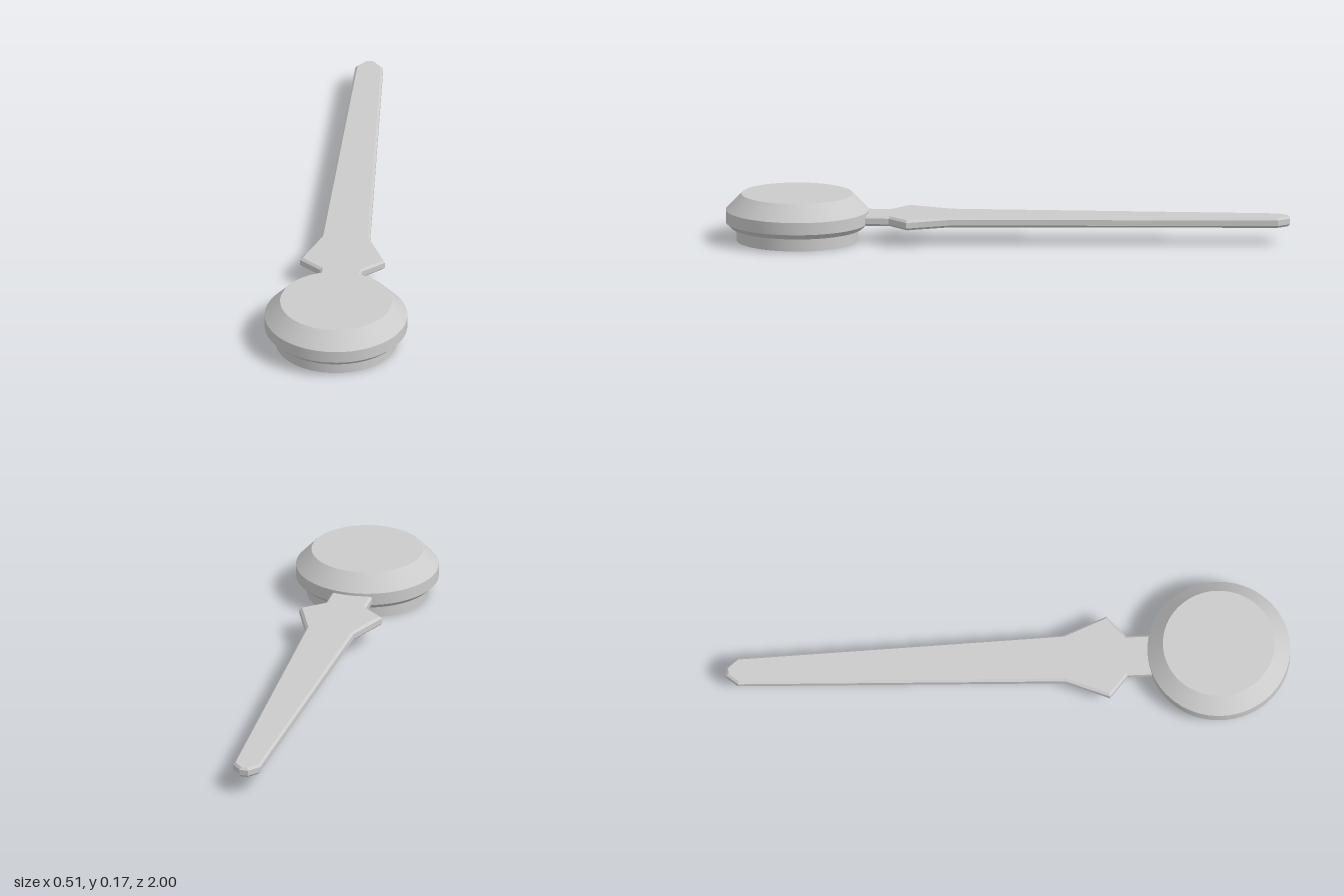
import * as THREE from 'three';
import { toCreasedNormals } from 'three/addons/utils/BufferGeometryUtils.js';

const HUB_Z = 0.747;

export function createModel() {
  const group = new THREE.Group();
  const material = new THREE.MeshStandardMaterial({ color: 0xcccccc, side: THREE.DoubleSide });

  // Hollow hub cap, open underneath: collar, step, chamfered rim and flat top
  const profile = [
    [0.215, 0], [0.215, 0.047], [0.233, 0.047], [0.253, 0.066],
    [0.253, 0.11], [0.198, 0.168], [0, 0.168],
  ].map(([r, y]) => new THREE.Vector2(r, y));
  const hub = new THREE.Mesh(
    toCreasedNormals(new THREE.LatheGeometry(profile, 64), 0.4), material);
  hub.name = 'hubCap';
  hub.position.z = HUB_Z;
  group.add(hub);

  // Flat pointer: half outline as [half width, z], mirrored about its centre line
  const half = [[0.074, 0.51], [0.074, 0.42], [0.151, 0.355], [0.087, 0.2], [0.049, -0.96], [0.015, -1]];
  const outline = [
    ...half.map(([x, z]) => new THREE.Vector2(x, -z)),
    ...half.slice().reverse().map(([x, z]) => new THREE.Vector2(-x, -z)),
  ];
  const bevel = 0.008;
  const thickness = 0.036;
  const pointerGeometry = new THREE.ExtrudeGeometry(new THREE.Shape(outline), {
    depth: thickness - 2 * bevel,
    bevelThickness: bevel,
    bevelSize: bevel,
    bevelOffset: -bevel,
    bevelSegments: 1,
  });
  pointerGeometry.rotateX(-Math.PI / 2);
  const pointer = new THREE.Mesh(toCreasedNormals(pointerGeometry, 0.4), material);
  pointer.name = 'pointer';
  pointer.position.set(-0.006, 0.064 + bevel, 0);
  group.add(pointer);

  return group;
}
